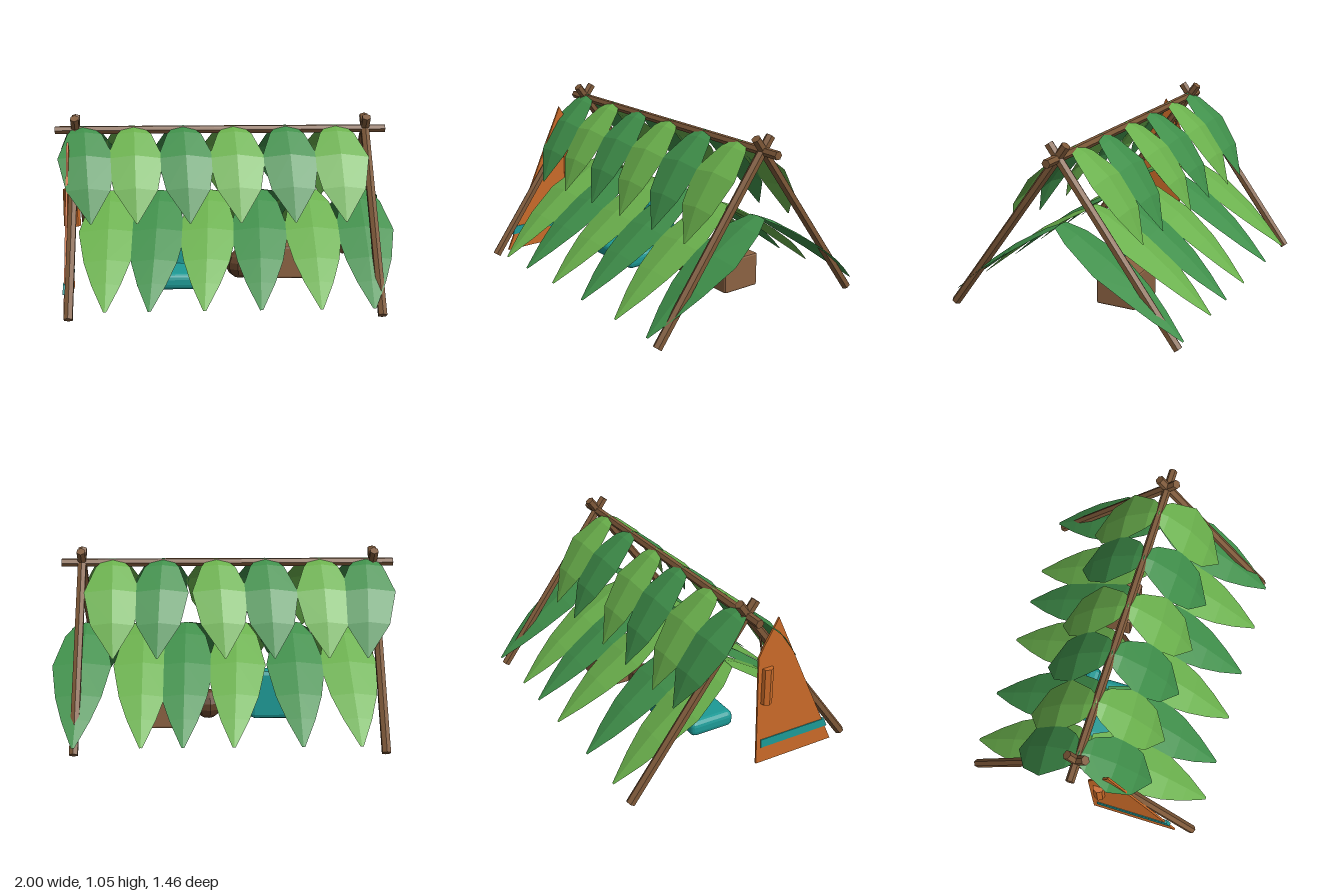
import * as THREE from 'three';
import { RoundedBoxGeometry } from 'three/addons/geometries/RoundedBoxGeometry.js';

const mat = (name, color, extra = {}) => {
  const m = new THREE.MeshStandardMaterial({ color, ...extra });
  m.name = name;
  return m;
};

export function createModel() {
  const group = new THREE.Group();
  const leafLook = { side: THREE.DoubleSide, flatShading: true };
  const lightLeaf = mat('light leaf', 0x6ab04c, leafLook);
  const darkLeaf = mat('dark leaf', 0x3f8f4a, leafLook);
  const wood = mat('wood', 0x7d5838, { flatShading: true });
  const crateBrown = mat('crate brown', 0x8b6242, { flatShading: true });
  const darkWood = mat('dark wood', 0x5f4029, { flatShading: true });
  const orange = mat('orange cloth', 0xc96a28, { flatShading: true });
  const teal = mat('teal cloth', 0x1d9a96, { flatShading: true });

  const add = (name, geo, material, x = 0, y = 0, z = 0) => {
    const mesh = new THREE.Mesh(geo, material);
    mesh.name = name;
    mesh.position.set(x, y, z);
    group.add(mesh);
    return mesh;
  };

  // Straight round stick between two points
  const stick = (name, a, b, r, material, sides = 6) => {
    const from = new THREE.Vector3(...a), to = new THREE.Vector3(...b);
    const dir = to.clone().sub(from);
    const mesh = add(name, new THREE.CylinderGeometry(r, r, dir.length(), sides), material);
    mesh.position.copy(from).add(to).multiplyScalar(0.5);
    mesh.quaternion.setFromUnitVectors(new THREE.Vector3(0, 1, 0), dir.normalize());
  };

  // Frame: ridge pole and two crossed pairs
  stick('ridgePole', [-1, 0.96, 0], [0.96, 0.96, 0], 0.025, wood);
  for (const x of [-0.88, 0.84]) {
    for (const s of [1, -1]) stick('crossedPole', [x, 0.02, s * 0.7], [x, 1.035, s * -0.052], 0.027, wood);
  }

  // Leaf rows: distance from the ridge, height, half width
  const upper = [[0, 0.985, 0.05], [0.06, 0.955, 0.1], [0.2, 0.84, 0.165], [0.32, 0.67, 0.125], [0.4, 0.48, 0.004]];
  const lower = [[0, 0.595, 0.06], [0.1, 0.55, 0.12], [0.3, 0.43, 0.17], [0.48, 0.295, 0.13], [0.6, 0.19, 0.08], [0.73, 0.07, 0.008]];

  // One leaf, folded along its midrib and arched down the slope
  const leaf = (rows, side, x, tip) => {
    const pos = [], idx = [];
    rows.forEach(([z, y, w], j) => {
      const t = j / (rows.length - 1);
      for (const k of [-1, 0, 1]) pos.push(x + tip * t + k * w, y - Math.abs(k) * w * 0.13, side * (z - Math.abs(k) * w * 0.06));
      if (j === rows.length - 1) return;
      for (let i = 0; i < 2; i++) {
        const a = j * 3 + i, b = a + 3;
        if (side > 0) idx.push(a, b, a + 1, a + 1, b, b + 1);
        else idx.push(a, a + 1, b, a + 1, b + 1, b);
      }
    });
    const geo = new THREE.BufferGeometry();
    geo.setAttribute('position', new THREE.Float32BufferAttribute(pos, 3));
    geo.setIndex(idx);
    geo.computeVertexNormals();
    return geo;
  };

  // Thatch: [rows, side, centre positions, sideways tip offsets, first leaf is light]
  const tiers = [
    [upper, 1, [-0.84, -0.54, -0.25, 0.05, 0.36, 0.66], [0.07, 0.03, 0.04, 0.03, 0.03, 0.02], false],
    [upper, -1, [-0.84, -0.56, -0.24, 0.05, 0.36, 0.66], [0.03, -0.03, -0.04, -0.05, 0.03, -0.02], false],
    [lower, 1, [-0.68, -0.38, -0.09, 0.2, 0.5, 0.81], [0, -0.06, -0.05, -0.03, 0, -0.02], true],
    [lower, -1, [-0.7, -0.4, -0.08, 0.23, 0.48, 0.82], [-0.04, -0.02, 0.04, 0.01, -0.01, 0.02], true],
  ];
  for (const [rows, side, xs, tips, lightFirst] of tiers) {
    xs.forEach((x, i) => {
      const light = (i % 2 === 0) === lightFirst;
      add(rows === upper ? 'upperLeaf' : 'lowerLeaf', leaf(rows, side, x, tips[i]), light ? lightLeaf : darkLeaf);
    });
  }

  // Flat panel in the z-y plane, at the right-hand end
  const panel = (name, pts, depth, x, material) => {
    const geo = new THREE.ExtrudeGeometry(new THREE.Shape(pts.map(p => new THREE.Vector2(...p))), { depth, bevelEnabled: false });
    geo.rotateY(-Math.PI / 2);
    return add(name, geo, material, x);
  };
  panel('endCloth', [[0.6, 0.02], [0.08, 0.02], [0.065, 0.7], [0.1, 0.77], [0.185, 0.915]], 0.012, -0.904, orange);
  panel('clothStripe', [[0.565, 0.12], [0.105, 0.12], [0.105, 0.172], [0.543, 0.172]], 0.022, -0.899, teal);

  // Hanging lantern and its cord
  const lantern = add('hangingLantern', new THREE.CylinderGeometry(0.038, 0.038, 0.22, 8), orange, -0.902, 0.52, 0.125);
  lantern.scale.x = 1.3;
  stick('lanternCord', [-0.885, 0.62, 0.122], [-0.885, 0.83, 0.085], 0.006, wood, 5);

  // Bedroll and upright cushion
  add('bedroll', new RoundedBoxGeometry(0.4, 0.1, 0.285, 2, 0.035), teal, -0.33, 0.07, 0.043);
  add('cushion', new RoundedBoxGeometry(0.28, 0.305, 0.09, 1, 0.03), teal, -0.29, 0.192, -0.147);

  // Crate and round gourd
  add('crate', new RoundedBoxGeometry(0.285, 0.205, 0.245, 1, 0.012), crateBrown, 0.37, 0.123, -0.163);
  add('gourd', new THREE.SphereGeometry(0.088, 9, 7), darkWood, 0.1, 0.108, -0.085);

  return group;
}
